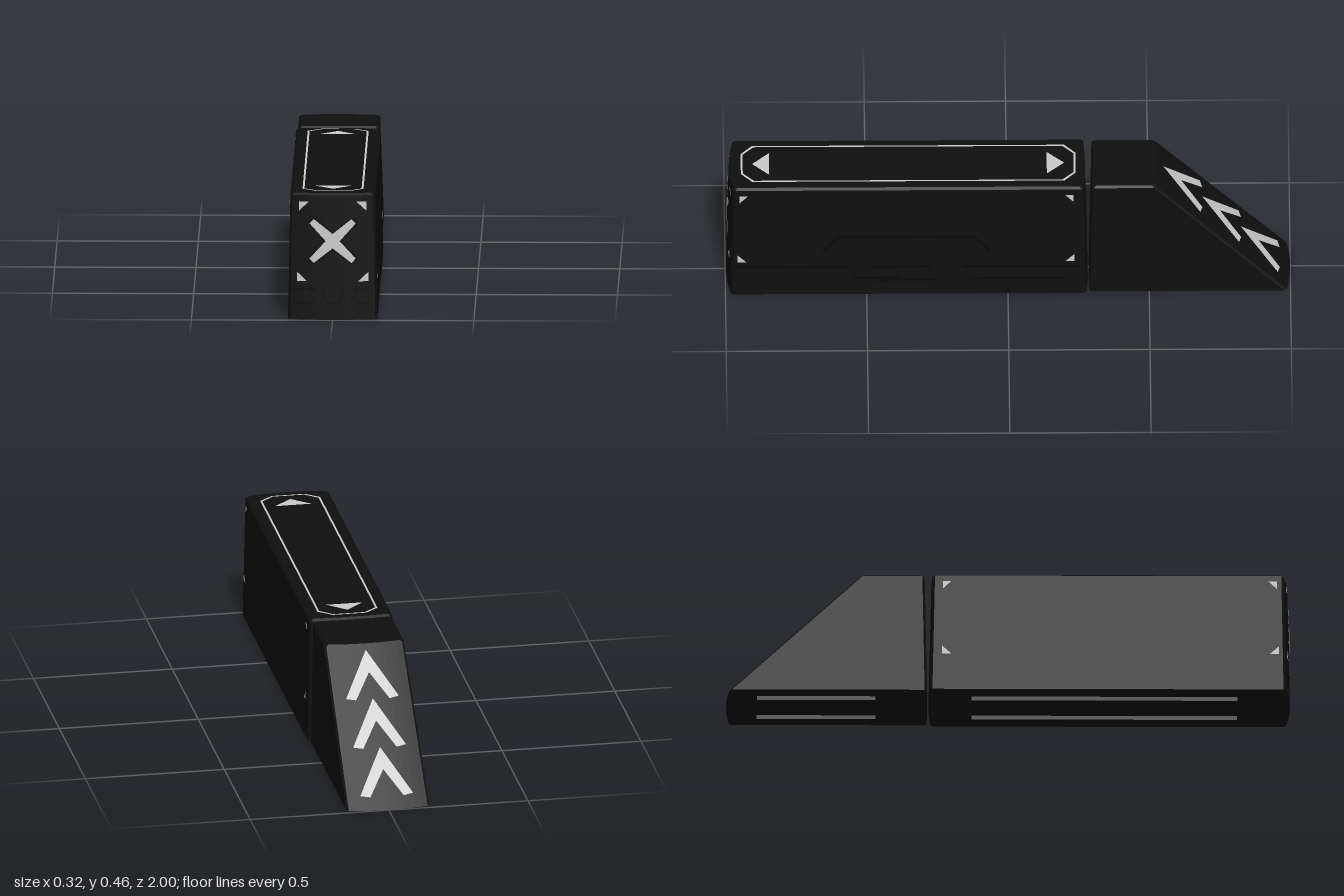
import * as THREE from 'three';

const dark = new THREE.MeshStandardMaterial({ color: 0x0f0f0f });
const groove = new THREE.MeshStandardMaterial({ color: 0x060606, side: THREE.DoubleSide });
const light = new THREE.MeshStandardMaterial({ color: 0xcccccc, side: THREE.DoubleSide });

const bow = (x, depth) => depth * (x / 0.15) ** 2;

// Plan outline with bowed ends and small corner chamfers
function outline(y, hw, zFront, zBack, bowFront, bowBack) {
  const c = 0.007, n = 12, pts = [];
  const end = (s, z, depth) => {
    pts.push([-s * hw, y, z - s * (bow(hw, depth) + c)]);
    for (let i = 0; i <= n; i++) {
      const x = s * (hw - c) * (2 * i / n - 1);
      pts.push([x, y, z - s * bow(x, depth)]);
    }
    pts.push([s * hw, y, z - s * (bow(hw, depth) + c)]);
  };
  end(1, zFront, bowFront);
  end(-1, zBack, bowBack);
  return pts;
}

// Closed solid through a stack of outlines, bottom to top
function loft(loops) {
  const pos = [], n = loops[0].length;
  const tri = (...p) => p.forEach(v => pos.push(...v));
  const mid = loop => [0, loop[0][1], loop.reduce((s, p) => s + p[2], 0) / n];
  const low = loops[0], top = loops[loops.length - 1];
  for (let i = 0; i < n; i++) {
    const j = (i + 1) % n;
    for (let k = 0; k + 1 < loops.length; k++) {
      const a = loops[k], b = loops[k + 1];
      tri(a[i], a[j], b[j]);
      tri(a[i], b[j], b[i]);
    }
    tri(mid(top), top[i], top[j]);
    tri(mid(low), low[j], low[i]);
  }
  const g = new THREE.BufferGeometry();
  g.setAttribute('position', new THREE.Float32BufferAttribute(pos, 3));
  g.computeVertexNormals();
  return g;
}

const toShape = pts => new THREE.Shape(pts.map(p => new THREE.Vector2(...p)));

// Flat marking laid onto a surface given by place(u, v) -> [x, y, z]
function marking(name, shape, place, material = light) {
  const g = new THREE.ShapeGeometry(shape), p = g.attributes.position;
  for (let i = 0; i < p.count; i++) p.setXYZ(i, ...place(p.getX(i), p.getY(i)));
  g.computeVertexNormals();
  const m = new THREE.Mesh(g, material);
  m.name = name;
  return m;
}

// Thin stroke between two points
function stroke(x1, y1, x2, y2, w = 0.006) {
  const l = Math.hypot(x2 - x1, y2 - y1);
  const a = -(y2 - y1) / l * w / 2, b = (x2 - x1) / l * w / 2;
  return toShape([[x1 + a, y1 + b], [x2 + a, y2 + b], [x2 - a, y2 - b], [x1 - a, y1 - b]]);
}

// Surfaces of the two blocks
const H = 0.453;
const bodyWidth = y => 0.158 - 0.018 * y;
const onFront = d => (x, y) => [x, y, 0.997 - 0.022 * y - bow(x, 0.015) + d];
const onSide = (s, d) => (z, y) => [s * (bodyWidth(y) + d), y, z];
const onTop = (x, z) => [x, H + 0.002, z];
const onBottom = (x, z) => [x, -0.001, z];
const slopeY = z => (z + 1) * H / 0.47;
const onSlope = (x, z) => [x, slopeY(z - bow(x, 0.015)) + 0.004, z];

export function createModel() {
  const model = new THREE.Group();
  const add = (...m) => model.add(...m);

  // Main block
  const bodyLoop = (y, inset = 0) => outline(y, bodyWidth(y) - inset,
    0.997 - 0.022 * y - inset, -0.283 + 0.022 * y + inset, 0.015, 0.006);
  const body = new THREE.Mesh(loft([bodyLoop(0), bodyLoop(0.446), bodyLoop(H, 0.009)]), dark);
  body.name = 'mainBlock';
  add(body);

  // Sloped rear block
  const rearLoop = (y, inset = 0) => outline(y, 0.149 - 0.012 * y - inset,
    -0.287 - 0.018 * y - inset, -1 + y * 0.47 / H, 0.003, 0.015);
  const rear = new THREE.Mesh(loft([rearLoop(0), rearLoop(0.446), rearLoop(H, 0.007)]), dark);
  rear.name = 'rearRamp';
  add(rear);

  // Front cross with its dark surround
  const cross = (g) => {
    const q = [[0.025 + g, 0], [0.082 + g, 0.063], [0.067 + g / 2, 0.079 + g], [0, 0.026 + g]];
    const pts = [];
    for (const [sx, sy, flip] of [[1, 1, 0], [-1, 1, 1], [-1, -1, 0], [1, -1, 1]]) {
      const part = q.map(([x, y]) => [sx * x, 0.283 + sy * y]);
      if (flip) part.reverse();
      pts.push(...part.slice(0, 3));
    }
    return toShape(pts);
  };
  add(marking('crossSurround', cross(0.01), onFront(0.002), groove));
  add(marking('frontCross', cross(0), onFront(0.004)));

  // Corner triangles on the front
  const corner = (u, v, du, dv) => toShape([[u, v], [u + du, v], [u, v + dv]]);
  for (const s of [-1, 1]) {
    add(marking('frontCornerUpper', corner(s * 0.119, 0.424, -s * 0.035, -0.033), onFront(0.003)));
    add(marking('frontCornerLower', corner(s * 0.127, 0.138, -s * 0.037, 0.034), onFront(0.003)));
    // Front panel lines
    for (const l of [[0.06, 0.112, 0.14, 0.112], [0.085, 0.11, 0.065, 0.06], [0.04, 0.11, 0.02, 0.06],
      [0, 0.06, 0.02, 0.06], [0.075, 0.058, 0.14, 0.058]])
      add(marking('frontPanelLine', stroke(s * l[0], l[1], s * l[2], l[3]), onFront(0.002), groove));
  }

  // Side corner triangles and panel lines
  for (const s of [-1, 1]) {
    for (const [z, d] of [[0.95, -1], [-0.232, 1]]) {
      add(marking('sideCornerUpper', corner(z, 0.424, d * 0.03, -0.03), onSide(s, 0.002)));
      add(marking('sideCornerLower', corner(z + (d < 0 ? 0.008 : -0.004), 0.138, d * 0.034, 0.032), onSide(s, 0.002)));
    }
    for (const l of [[0.6, 0.245, 0.12, 0.245], [0.66, 0.18, 0.6, 0.245], [0.12, 0.245, 0.06, 0.18],
      [0.97, 0.118, 0.56, 0.118], [0.48, 0.118, 0.27, 0.118], [0.16, 0.118, -0.25, 0.118],
      [0.55, 0.07, 0.38, 0.07], [0.47, 0.06, 0.26, 0.06], [0.14, 0.065, -0.2, 0.065]])
      add(marking('sidePanelLine', stroke(...l), onSide(s, 0.0015), groove));
  }

  // Chamfered outline and end arrows on the roof
  const ring = (t) => [[0.06, -0.24], [0.108, -0.2], [0.108, 0.905], [0.06, 0.945],
    [-0.06, 0.945], [-0.108, 0.905], [-0.108, -0.2], [-0.06, -0.24]]
    .map(([x, z]) => [x * (1 - t / 0.108), 0.3525 + (z - 0.3525) * (1 - t / 0.59)]);
  const frame = toShape(ring(0));
  frame.holes.push(new THREE.Path(ring(0.007).reverse().map(p => new THREE.Vector2(...p))));
  add(marking('roofOutline', frame, onTop));
  add(marking('roofArrowRear', toShape([[0, -0.2], [0.065, -0.138], [-0.065, -0.138]]), onTop));
  add(marking('roofArrowFront', toShape([[0, 0.905], [0.065, 0.845], [-0.065, 0.845]]), onTop));

  // Chevrons up the ramp
  for (let i = 0; i < 3; i++) {
    const z = i * 0.137;
    add(marking('rampChevron', toShape([[-0.095, -0.955], [-0.06, -0.963], [0, -0.888],
      [0.06, -0.963], [0.095, -0.955], [0, -0.825]].map(([x, v]) => [x, v + z])), onSlope));
  }

  // Light strips underneath
  for (const x of [-0.08, 0.08])
    for (const [z1, z2] of [[0.81, -0.13], [-0.47, -0.89]])
      add(marking('undersideStrip', stroke(x, z1, x, z2, 0.032), onBottom));

  return model;
}
